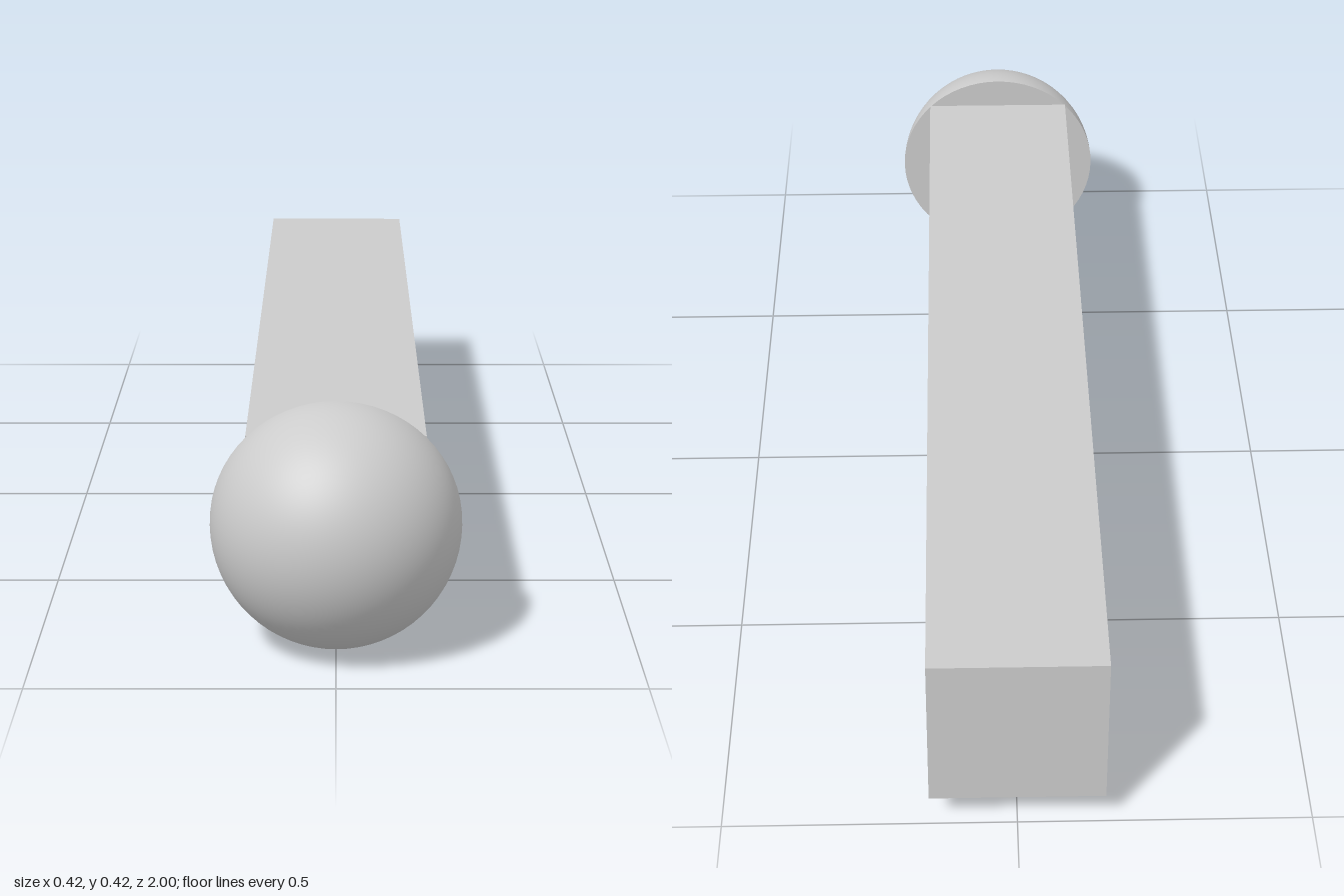
import * as THREE from 'three';
import { toCreasedNormals } from 'three/addons/utils/BufferGeometryUtils.js';

const R = 0.209;        // head radius, also the height of the axis
const HALF = 0.149;     // half width of the square shank
const SEAT = 1 - R;     // z where the head meets the shank

export function createModel() {
  const model = new THREE.Group();
  const material = new THREE.MeshStandardMaterial({ color: 0xcccccc });
  const add = (name, geometry, parent = model) => {
    const mesh = new THREE.Mesh(geometry, material);
    mesh.name = name;
    parent.add(mesh);
    return mesh;
  };

  // Square shank: side profile with a round cross hole, extruded across x
  const side = new THREE.Shape([
    new THREE.Vector2(-SEAT, -HALF), new THREE.Vector2(1, -HALF),
    new THREE.Vector2(1, HALF), new THREE.Vector2(-SEAT, HALF),
  ]);
  side.holes.push(new THREE.Path().absarc(0.85, 0, 0.096, 0, Math.PI * 2, true));
  const bar = new THREE.ExtrudeGeometry(side, { depth: HALF * 2, bevelEnabled: false, curveSegments: 48 });
  bar.translate(0, 0, -HALF).rotateY(Math.PI / 2);
  add('shank', toCreasedNormals(bar, 0.5)).position.y = R;

  // Domed head with a flat underside facing the shank
  const head = new THREE.Group();
  head.name = 'head';
  head.position.set(0, R, SEAT);
  model.add(head);
  add('dome', new THREE.SphereGeometry(R, 64, 24, 0, Math.PI * 2, 0, Math.PI / 2).rotateX(Math.PI / 2), head);
  add('headUnderside', new THREE.CircleGeometry(R, 64).rotateY(Math.PI), head);

  return model;
}
